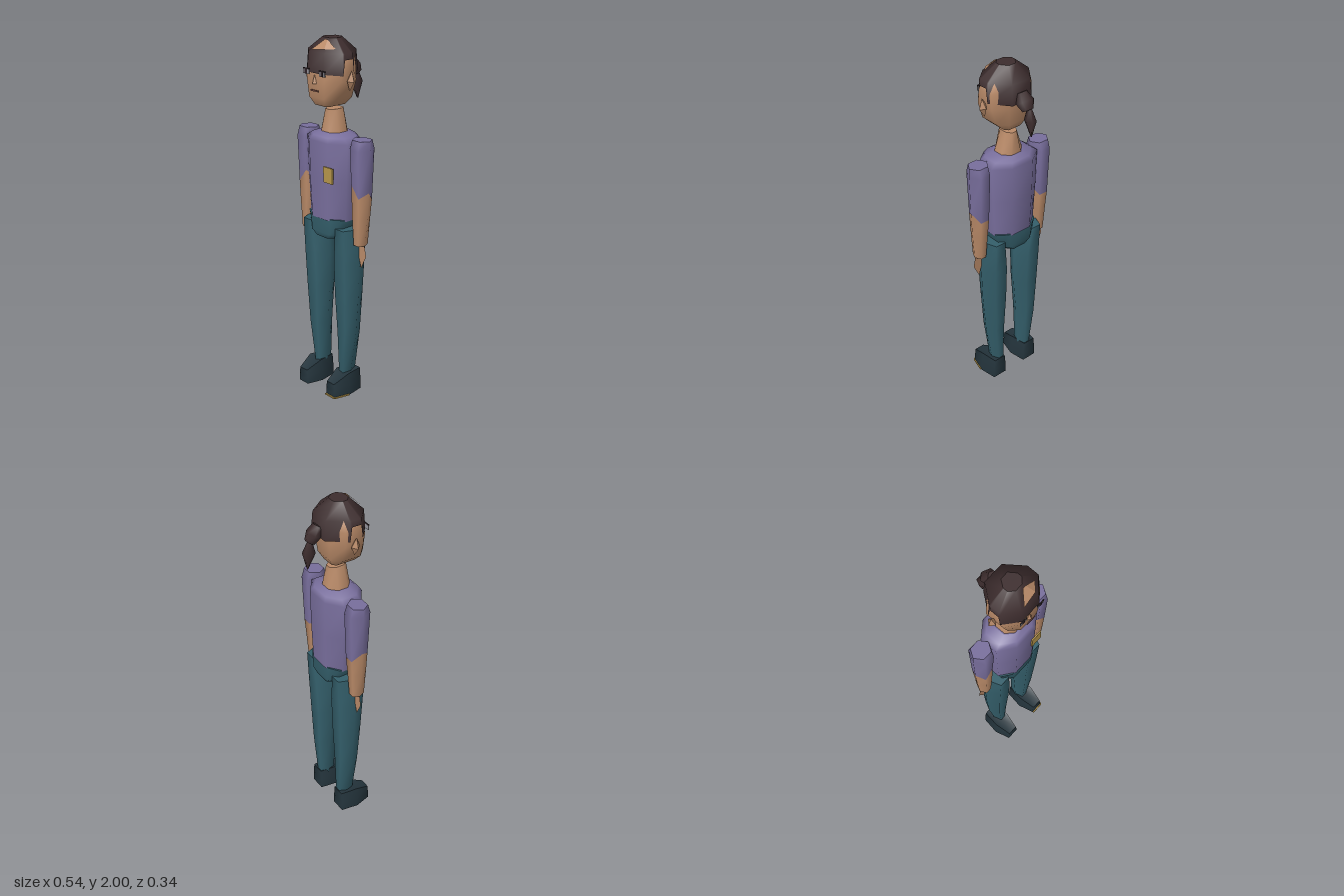
import * as THREE from 'three';

const mat = (name, color) => {
  const m = new THREE.MeshStandardMaterial({ color });
  m.name = name;
  return m;
};

// Stacks rings of [x, y, z] points, bottom to top: smooth sides, flat end caps.
function loft(rings, capBottom = true, capTop = true) {
  const pos = [], idx = [], n = rings[0].length;
  rings.forEach(r => r.forEach(p => pos.push(...p)));
  for (let j = 0; j < rings.length - 1; j++)
    for (let i = 0; i < n; i++) {
      const a = j * n + i, b = j * n + (i + 1) % n;
      idx.push(a, a + n, b, b, a + n, b + n);
    }
  const cap = (ring, up) => {
    const base = pos.length / 3;
    const c = [0, 1, 2].map(k => ring.reduce((s, p) => s + p[k], 0) / n);
    pos.push(...c);
    ring.forEach(p => pos.push(...p));
    for (let i = 0; i < n; i++) {
      const p = base + 1 + i, q = base + 1 + (i + 1) % n;
      if (up) idx.push(base, q, p); else idx.push(base, p, q);
    }
  };
  if (capBottom) cap(rings[0], false);
  if (capTop) cap(rings[rings.length - 1], true);
  const g = new THREE.BufferGeometry();
  g.setAttribute('position', new THREE.Float32BufferAttribute(pos, 3));
  g.setIndex(idx);
  g.computeVertexNormals();
  return g;
}

// Bevelled rectangle with eight corners.
const oct = (y, rx, rz, cz, k = 0.45) =>
  [[1, k], [k, 1], [-k, 1], [-1, k], [-1, -k], [-k, -1], [k, -1], [1, -k]]
    .map(([x, z]) => [x * rx, y, cz + z * rz]);

// Six-sided ring with points on the left and right; y may vary per corner.
const hex = (cx, y, rx, rz, cz) => Array.from({ length: 6 }, (_, i) => {
  const a = i * Math.PI / 3, x = Math.cos(a), z = Math.sin(a) / 0.866;
  return [cx + x * rx, typeof y === 'function' ? y(x, z) : y, cz + z * rz];
});

// Flat polygon as a triangle fan.
function fan(points) {
  const g = new THREE.BufferGeometry(), idx = [];
  g.setAttribute('position', new THREE.Float32BufferAttribute(points.flat(), 3));
  for (let i = 1; i < points.length - 1; i++) idx.push(0, i, i + 1);
  g.setIndex(idx);
  g.computeVertexNormals();
  return g;
}

export function createModel() {
  const model = new THREE.Group();
  const skin = mat('skin', 0xb98a68), shirt = mat('purple shirt', 0x786e9c);
  const trousers = mat('teal trousers', 0x345f6b), shoe = mat('dark shoe', 0x24343c);
  const hair = mat('dark brown hair', 0x3d2d2e), gold = mat('gold', 0xb5954a);
  const eyeGrey = mat('eye grey', 0x96949c), dark = mat('pupil dark', 0x2c2226);
  const lip = mat('lip', 0x70483f);
  for (const m of [skin, hair]) m.side = THREE.DoubleSide;

  const add = (name, geo, material, x = 0, y = 0, z = 0) => {
    const m = new THREE.Mesh(geo, material);
    m.name = name;
    m.position.set(x, y, z);
    model.add(m);
    return m;
  };
  const box = (w, h, d) => new THREE.BoxGeometry(w, h, d);

  // Trunk
  add('hips', loft([
    oct(0.92, 0.07, 0.09, 0.025, 0.6), oct(0.95, 0.115, 0.1, 0.025, 0.6),
    oct(1.04, 0.138, 0.1, 0.025, 0.6)]), trousers);
  add('torso', loft([
    oct(1.03, 0.138, 0.105, 0.025), oct(1.25, 0.15, 0.113, 0.025),
    oct(1.46, 0.158, 0.115, 0.025), oct(1.485, 0.125, 0.1, 0.025),
    oct(1.505, 0.075, 0.07, 0.025)]), shirt);
  add('badge', box(0.07, 0.085, 0.008), gold, 0.08, 1.292, 0.142);
  add('neck', loft([
    oct(1.5, 0.07, 0.066, 0.025), oct(1.625, 0.035, 0.05, 0.025)]), skin);

  // Head
  add('head', loft([
    oct(1.65, 0.055, 0.075, 0.05, 0.7), oct(1.695, 0.103, 0.1, 0.05, 0.55),
    oct(1.79, 0.134, 0.107, 0.048, 0.5), oct(1.87, 0.132, 0.106, 0.045, 0.45),
    oct(1.93, 0.115, 0.1, 0.04), oct(1.97, 0.06, 0.06, 0.035)]), skin);

  // Hair cap with a notch raised over each ear
  const hairRing = (rx, rz, y, notch, front) => {
    const half = [[0.45, 1, front], [1, 0.45, y], [1, 0.36, notch], [1, -0.08, notch], [1, -0.16, y], [0.45, -1, y]];
    const other = half.map(([x, z, h]) => [-x, z, h]);
    return [...half.slice().reverse(), ...other]
      .map(([x, z, h]) => [x * rx, h, 0.037 + z * rz]);
  };
  add('hairCap', loft([
    hairRing(0.141, 0.121, 1.82, 1.9, 1.825), hairRing(0.133, 0.113, 1.93, 1.93, 1.93),
    hairRing(0.05, 0.045, 2, 2, 2)], false, true), hair);
  // Bare parting above the fringe
  const parting = [[-0.04, 1.94, 0.15], [0.05, 1.95, 0.14], [0.029, 1.993, 0.097], [0.01, 1.995, 0.096]];
  add('parting', fan(parting), skin);
  add('partingSide', fan([parting[1], [0.092, 1.953, 0.1], parting[2]]), skin);

  // Ponytail
  const knot = add('ponytailKnot', loft([
    hex(0, -0.045, 0.03, 0.025, 0), hex(0, 0, 0.048, 0.035, 0),
    hex(0, 0.05, 0.028, 0.025, 0)]), hair, 0.003, 1.835, -0.107);
  knot.rotation.set(0.55, -0.4, 0);
  const tail = add('ponytailTip', loft([
    hex(0, -0.085, 0.003, 0.003, 0), hex(0, 0.005, 0.028, 0.032, 0),
    hex(0, 0.075, 0.01, 0.01, 0)]), hair, -0.004, 1.735, -0.14);
  tail.rotation.x = 0.1;

  // Face
  for (const s of [1, -1]) {
    const ear = new THREE.OctahedronGeometry(1);
    ear.scale(0.026, 0.055, 0.025);
    const e = add('ear', ear, skin, s * 0.146, 1.79, 0.045);
    e.rotation.z = -s * 0.15;
    add('eyeWhite', box(0.044, 0.024, 0.004), eyeGrey, s * 0.061, 1.828, 0.165);
    add('pupil', box(0.018, 0.024, 0.005), dark, s * 0.061, 1.828, 0.166);
    add('upperLid', box(0.046, 0.006, 0.005), dark, s * 0.061, 1.843, 0.166);
  }
  add('mouth', box(0.06, 0.008, 0.004), lip, 0, 1.735, 0.163);
  const nose = new THREE.ConeGeometry(0.016, 0.05, 4).toNonIndexed();
  nose.computeVertexNormals();
  add('nose', nose, skin, -0.007, 1.795, 0.156);

  for (const s of [1, -1]) {
    // Arm: sleeve and forearm meet on a jagged hem
    const ax = s * 0.208;
    const hem = (x, z) => (z > 0.1 ? (x * s > 0 ? 1.18 : 1.25) : z < -0.1 ? 1.16 : 1.21);
    const hemRing = hex(ax, hem, 0.054, 0.05, 0.021);
    add('sleeve', loft([hemRing, hex(ax, 1.44, 0.06, 0.06, 0.02),
      hex(ax, 1.49, 0.058, 0.045, 0.02)], false), shirt);
    add('forearm', loft([hex(ax, 0.91, 0.034, 0.036, 0.025),
      hex(ax, 1.06, 0.046, 0.044, 0.023), hemRing], true, false), skin);
    add('hand', fan([[0.185, 0.92, 0.025], [0.235, 0.92, 0.025], [0.25, 0.85, 0.025],
      [0.212, 0.772, 0.025], [0.182, 0.885, 0.025]].map(([x, y, z]) => [s * x, y, z])), skin);

    // Leg
    add('leg', loft([hex(s * 0.1, 0.1, 0.03, 0.046, 0.022),
      hex(s * 0.115, 0.36, 0.058, 0.058, 0.023), hex(s * 0.115, 0.6, 0.077, 0.068, 0.024),
      hex(s * 0.118, 0.8, 0.08, 0.077, 0.024), hex(s * 0.128, 0.99, 0.062, 0.086, 0.024)]), trousers);

    // Shoe: wide at the ball, sloping down to a blunt toe
    const outline = [[0.06, 0.07], [0.036, 0.162], [-0.036, 0.162], [-0.06, 0.07], [-0.045, -0.03], [0.045, -0.03]];
    const layer = (f, h) => outline.map(([x, z]) => [s * 0.115 + x * f, h(z), z]);
    add('shoe', loft([layer(1, () => 0), layer(0.97, z => (z > 0.1 ? 0.045 : 0.06)),
      layer(0.82, z => (z > 0.1 ? 0.085 : 0.128))]), shoe);
  }
  // Gold edging on the left sole
  add('toeEdging', box(0.074, 0.008, 0.008), gold, 0.116, 0.004, 0.167);
  const edge = add('sideEdging', box(0.006, 0.008, 0.094), gold, 0.166, 0.004, 0.121);
  edge.rotation.y = -0.25;

  return model;
}
